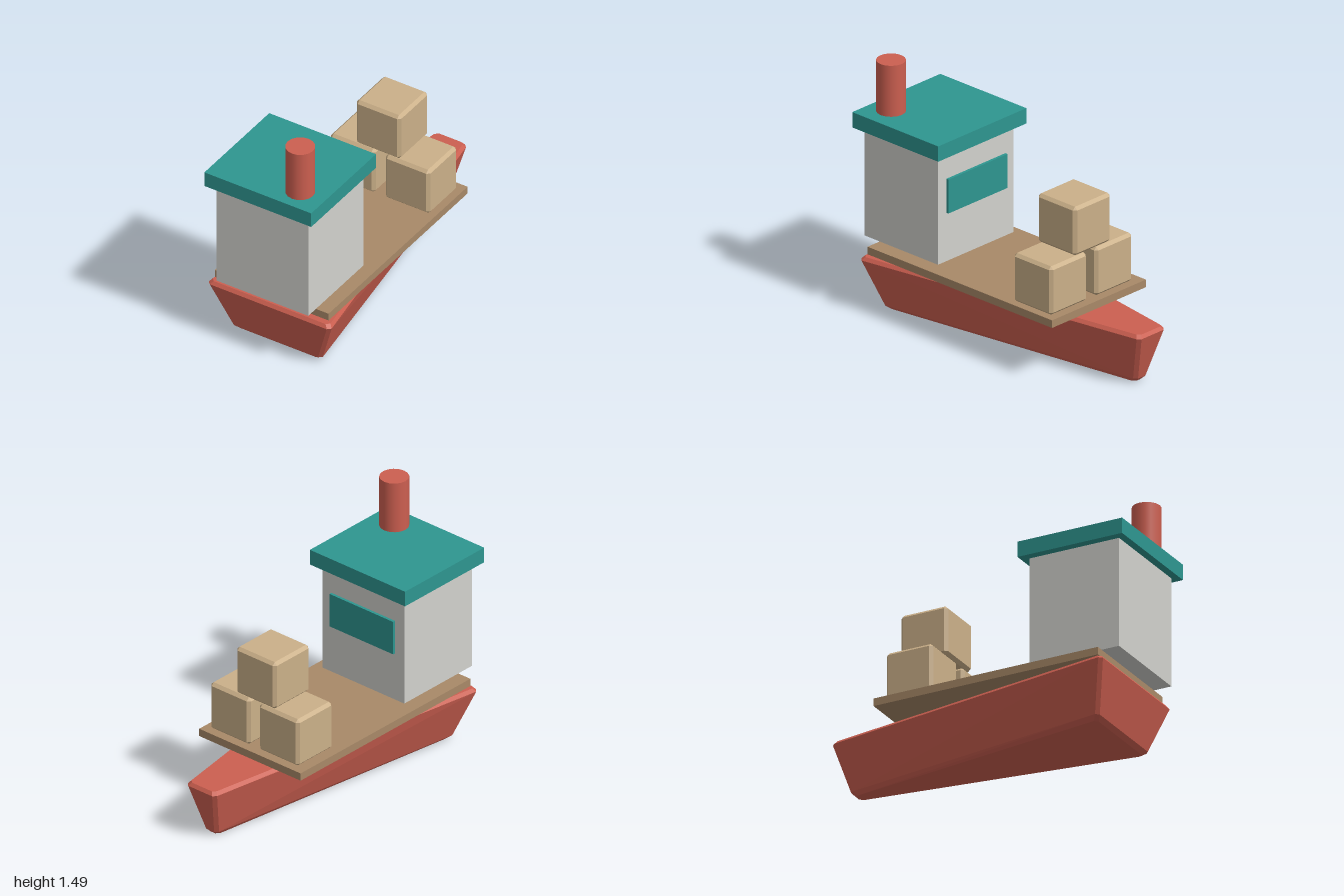
import * as THREE from 'three';
import { ConvexGeometry } from 'three/addons/geometries/ConvexGeometry.js';

const material = (name, color) => {
  const m = new THREE.MeshStandardMaterial({ color });
  m.name = name;
  return m;
};

// Box given by its limits on each axis
function block(name, mat, [x0, x1], [y0, y1], [z0, z1]) {
  const mesh = new THREE.Mesh(new THREE.BoxGeometry(x1 - x0, y1 - y0, z1 - z0), mat);
  mesh.name = name;
  mesh.position.set((x0 + x1) / 2, (y0 + y1) / 2, (z0 + z1) / 2);
  return mesh;
}

// Cube with chamfered edges
function crateGeometry(size, bevel) {
  const o = size / 2, i = o - bevel, points = [];
  for (const x of [-1, 1]) for (const y of [-1, 1]) for (const z of [-1, 1]) {
    points.push(
      new THREE.Vector3(x * o, y * i, z * i),
      new THREE.Vector3(x * i, y * o, z * i),
      new THREE.Vector3(x * i, y * i, z * o));
  }
  return new ConvexGeometry(points);
}

// Tapering hull from trapezoid levels with cut corners
function hullGeometry() {
  const cut = 0.02, points = [];
  // y, half width at wide end, half width at narrow end, z of wide end, z of narrow end
  const levels = [
    [0, 0.27, 0.035, 0.79, -0.89],
    [0.025, 0.302, 0.05, 0.815, -0.915],
    [0.315, 0.412, 0.11, 0.895, -1],
    [0.335, 0.395, 0.095, 0.88, -0.985],
  ];
  for (const [y, wide, narrow, zWide, zNarrow] of levels) {
    for (const s of [-1, 1]) {
      points.push(
        new THREE.Vector3(s * (wide - cut), y, zWide),
        new THREE.Vector3(s * wide, y, zWide - cut),
        new THREE.Vector3(s * narrow, y, zNarrow + cut),
        new THREE.Vector3(s * (narrow - cut), y, zNarrow));
    }
  }
  return new ConvexGeometry(points);
}

export function createModel() {
  const red = material('red paint', 0xcc5f50);
  const teal = material('teal paint', 0x2e9690);
  const grey = material('light grey paint', 0xd2d2cd);
  const wood = material('deck wood', 0xa88968);
  const crateWood = material('crate wood', 0xcbb089);

  const boat = new THREE.Group();
  boat.name = 'cargoBoat';

  const hull = new THREE.Mesh(hullGeometry(), red);
  hull.name = 'hull';
  boat.add(hull);

  // Deck and cabin
  boat.add(
    block('deck', wood, [-0.383, 0.38], [0.348, 0.395], [-0.58, 0.857]),
    block('cabin', grey, [-0.31, 0.306], [0.41, 1.08], [0.38, 0.953]),
    block('roof', teal, [-0.36, 0.356], [1.08, 1.175], [0.33, 1]),
    block('window', teal, [-0.242, 0.238], [0.71, 0.92], [0.363, 0.381]));

  // Funnel
  const funnel = new THREE.Mesh(new THREE.CylinderGeometry(0.085, 0.085, 0.315, 16), red);
  funnel.name = 'funnel';
  funnel.position.set(0.19, 1.3325, 0.857);
  boat.add(funnel);

  // Stacked crates
  const crateShape = crateGeometry(0.3, 0.018);
  for (const [name, x, y] of [
    ['rightCrate', -0.175, 0.542],
    ['leftCrate', 0.193, 0.542],
    ['topCrate', -0.002, 0.846],
  ]) {
    const crate = new THREE.Mesh(crateShape, crateWood);
    crate.name = name;
    crate.position.set(x, y, -0.387);
    boat.add(crate);
  }
  return boat;
}
